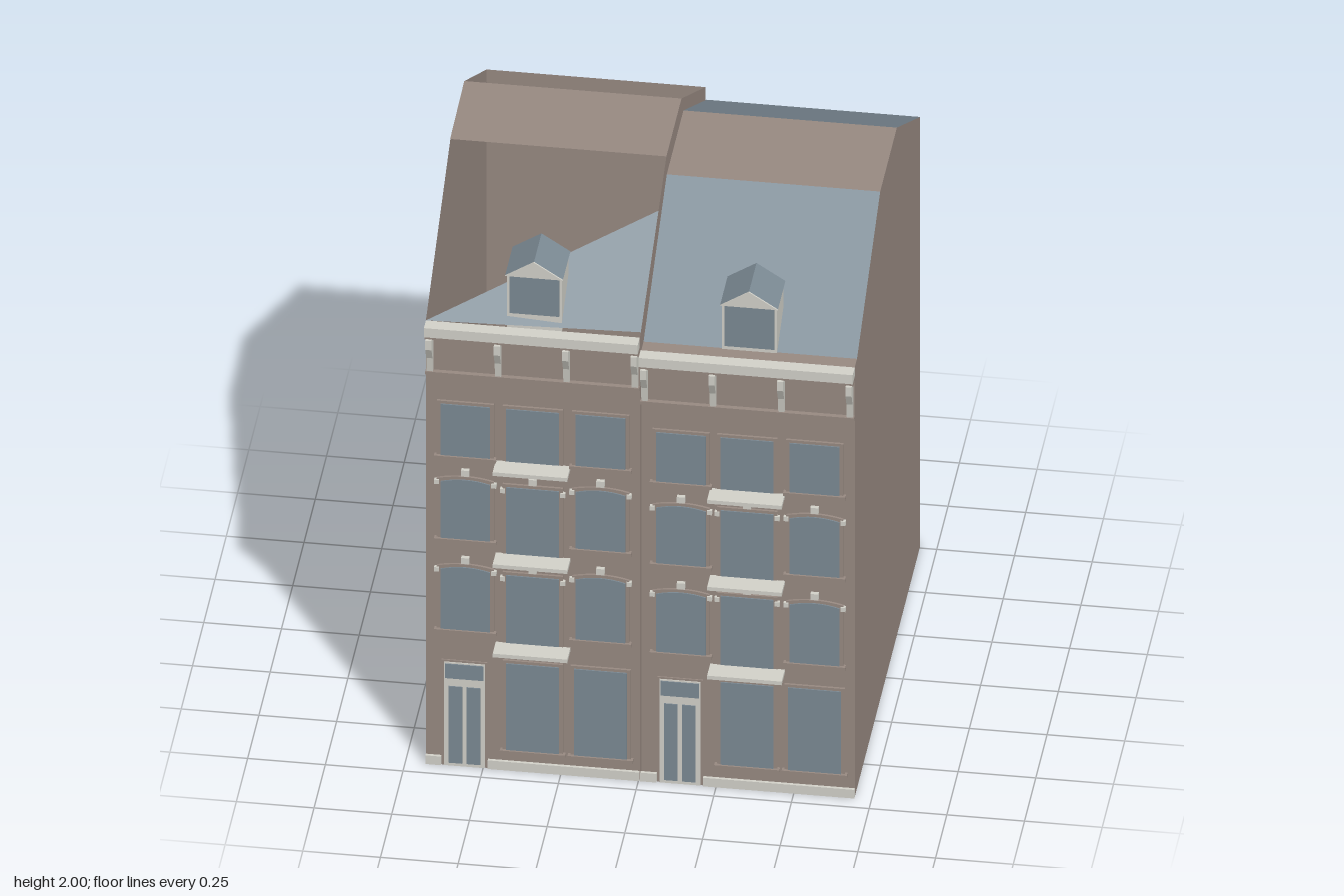
import * as THREE from 'three';

export function createModel() {
  const root = new THREE.Group();
  root.name = 'terracedHouses';
  const mat = (name, color, side = THREE.FrontSide) => {
    const m = new THREE.MeshStandardMaterial({ color, side });
    m.name = name;
    return m;
  };
  const brick = mat('brick', 0x988a82, THREE.DoubleSide);
  const slate = mat('slateAndGlass', 0x7c8a94, THREE.DoubleSide);
  const cream = mat('creamStone', 0xd3d2ca);

  const FRONT = 0.69, BACK = -0.76;
  const add = (parent, name, geo, m, x = 0, y = 0, z = 0) => {
    const mesh = new THREE.Mesh(geo, m);
    mesh.name = name;
    mesh.position.set(x, y, z);
    parent.add(mesh);
    return mesh;
  };
  // box given by its limits
  const box = (parent, name, m, x0, x1, y0, y1, z0, z1) =>
    add(parent, name, new THREE.BoxGeometry(x1 - x0, y1 - y0, z1 - z0), m,
      (x0 + x1) / 2, (y0 + y1) / 2, (z0 + z1) / 2);
  // flat convex panel from its corners
  const panel = (parent, name, m, pts) => {
    const g = new THREE.BufferGeometry();
    g.setAttribute('position', new THREE.Float32BufferAttribute(pts.flat(), 3));
    const idx = [];
    for (let i = 1; i < pts.length - 1; i++) idx.push(0, i, i + 1);
    g.setIndex(idx);
    g.computeVertexNormals();
    return add(parent, name, g, m);
  };
  const extrude = (pts, depth) => new THREE.ExtrudeGeometry(
    new THREE.Shape(pts.map(p => new THREE.Vector2(p[0], p[1]))), { depth, bevelEnabled: false });

  // rectangle with an optional shallow arched top
  const archPlate = (w, h, rise, depth) => {
    const s = new THREE.Shape();
    s.moveTo(-w / 2, 0);
    s.lineTo(w / 2, 0);
    s.lineTo(w / 2, h - rise);
    if (rise) s.quadraticCurveTo(0, h + rise, -w / 2, h - rise);
    else s.lineTo(-w / 2, h);
    return new THREE.ExtrudeGeometry(s, { depth, bevelEnabled: false, curveSegments: 8 });
  };

  function addWindow(parent, cx, w, y0, y1, { arch = false, balcony = false, stones = false }) {
    const g = new THREE.Group();
    g.name = 'window';
    parent.add(g);
    const h = y1 - y0, rise = arch ? 0.012 : 0;
    add(g, 'windowFrame', archPlate(w + 0.024, h + 0.012, rise, 0.008), brick, cx, y0 - 0.002, FRONT);
    add(g, 'windowGlass', archPlate(w, h, rise, 0.004), slate, cx, y0, FRONT + 0.008);
    if (balcony) box(g, 'balconySlab', cream, cx - 0.12, cx + 0.12, y0 - 0.02, y0 - 0.006, FRONT, 0.76);
    else box(g, 'windowSill', brick, cx - w / 2 - 0.02, cx + w / 2 + 0.02, y0 - 0.012, y0, FRONT, FRONT + 0.018);
    if (stones) {
      box(g, 'keystone', cream, cx - 0.013, cx + 0.013, y1 + 0.015, y1 + 0.038, FRONT, FRONT + 0.014);
      for (const s of [-1, 1]) {
        const x = cx + s * (w / 2 + 0.012);
        box(g, 'springStone', cream, x - 0.008, x + 0.008, y1 - 0.022, y1 - 0.006, FRONT, FRONT + 0.013);
      }
    }
  }

  function addDoor(parent, cx) {
    const g = new THREE.Group();
    g.name = 'frontDoor';
    parent.add(g);
    box(g, 'doorSurround', brick, cx - 0.074, cx + 0.074, 0, 0.402, FRONT, FRONT + 0.004);
    box(g, 'doorFrame', cream, cx - 0.066, cx + 0.066, 0, 0.395, FRONT, FRONT + 0.007);
    box(g, 'transomLight', slate, cx - 0.062, cx + 0.062, 0.335, 0.39, FRONT, FRONT + 0.01);
    for (const s of [-1, 1])
      box(g, 'doorLeaf', slate, cx + s * 0.029 - 0.022, cx + s * 0.029 + 0.022, 0.012, 0.305, FRONT, FRONT + 0.01);
  }

  function addCornice(parent, x0, x1, top) {
    const g = new THREE.Group();
    g.name = 'cornice';
    parent.add(g);
    box(g, 'corniceTop', cream, x0, x1, top - 0.035, top, FRONT, 0.735);
    box(g, 'corniceShadowBand', brick, x0, x1, top - 0.052, top - 0.035, FRONT, 0.722);
    box(g, 'friezeMoulding', brick, x0, x1, top - 0.197, top - 0.185, FRONT, 0.706);
    const profile = [[0, -0.185], [0.012, -0.185], [0.02, -0.13], [0.042, -0.085], [0.042, -0.05], [0, -0.05]];
    for (let i = 0; i < 4; i++) {
      const geo = extrude(profile, 0.02);
      geo.rotateY(-Math.PI / 2);
      const x = x0 + 0.014 + (x1 - x0 - 0.028) * i / 3;
      add(g, 'corniceBracket', geo, cream, x + 0.01, top, FRONT);
    }
  }

  function addDormer(parent, cx, base, eave) {
    const g = new THREE.Group();
    g.name = 'dormer';
    parent.add(g);
    box(g, 'dormerBody', cream, cx - 0.088, cx + 0.088, base, eave, 0.5, 0.645);
    box(g, 'dormerWindow', slate, cx - 0.08, cx + 0.08, base + 0.06, eave - 0.004, 0.645, 0.65);
    const tri = [[-0.093, 0], [0.093, 0], [0, 0.06]];
    add(g, 'dormerRoof', extrude(tri, 0.165), slate, cx, eave, 0.49);
    add(g, 'dormerPediment', extrude(tri, 0.005), cream, cx, eave, 0.655);
  }

  // rows: [side bottom, side top, middle bottom, middle top]
  function addFacade(parent, cols, rows, doorX, x0, x1, top) {
    rows.forEach((r, j) => cols.forEach((cx, i) => {
      const mid = i === 1, upper = j > 0 && j < 3;
      if (j === 0 && i === 0) return;
      addWindow(parent, cx, mid || j === 0 ? 0.17 : 0.16, mid ? r[2] : r[0], mid ? r[3] : r[1],
        { arch: upper && !mid, balcony: mid && j > 0, stones: upper });
    }));
    addDoor(parent, doorX);
    box(parent, 'plinth', cream, x0, doorX - 0.075, 0, 0.033, FRONT, FRONT + 0.01);
    box(parent, 'plinth', cream, doorX + 0.075, x1, 0, 0.033, FRONT, FRONT + 0.01);
    addCornice(parent, x0, x1, top);
  }

  // gable wall: eave height, ridge height, front and rear ends of the flat top
  const gable = (parent, name, xf, xb, eave, ridge, zf, zr, frontEave) => {
    const x = z => xb + (xf - xb) * (z - BACK) / (FRONT - BACK);
    const pts = [[FRONT, 0], [FRONT, eave], [frontEave, eave], [zf, ridge], [zr, ridge], [BACK, eave], [BACK, 0]];
    panel(parent, name, brick, pts.map(([z, y]) => [x(z), y, z]));
  };
  const shell = (parent, f0, b0, x1, eave) => {
    panel(parent, 'frontWall', brick, [[f0, 0, FRONT], [x1, 0, FRONT], [x1, eave, FRONT], [f0, eave, FRONT]]);
    panel(parent, 'backWall', brick, [[x1, 0, BACK], [b0, 0, BACK], [b0, eave, BACK], [x1, eave, BACK]]);
    panel(parent, 'floor', brick, [[b0, 0, BACK], [x1, 0, BACK], [x1, 0, FRONT], [f0, 0, FRONT]]);
  };

  // taller house, with a partly open roof
  const tall = new THREE.Group();
  tall.name = 'tallerHouse';
  root.add(tall);
  shell(tall, -0.685, -0.7, 0.004, 1.693);
  gable(tall, 'outerGable', -0.685, -0.7, 1.693, 2, 0.105, -0.23, FRONT);
  gable(tall, 'partyWall', 0.004, 0.004, 1.693, 2, 0.105, -0.23, FRONT);
  panel(tall, 'flatRoof', brick, [[-0.692, 2, 0.105], [0.004, 2, 0.105], [0.004, 2, -0.23], [-0.695, 2, -0.23]]);
  panel(tall, 'frontRoofSlope', slate, [[-0.685, 1.693, FRONT], [0.004, 1.68, 0.64], [0.004, 1.908, 0.28]]);
  addFacade(tall, [-0.557, -0.34, -0.122],
    [[0.08, 0.41, 0.08, 0.41], [0.525, 0.765, 0.49, 0.748], [0.873, 1.1, 0.832, 1.085], [1.19, 1.385, 1.185, 1.385]],
    -0.56, -0.685, 0.003, 1.693);
  addDormer(tall, -0.342, 1.66, 1.867);

  // lower house, with a full mansard roof
  const low = new THREE.Group();
  low.name = 'lowerHouse';
  root.add(low);
  const L = 0.008, R = 0.695, E = 1.645, T = 1.945;
  shell(low, L, L, R, E);
  gable(low, 'outerGable', R, R, E, T, 0.125, -0.245, 0.64);
  panel(low, 'gutter', brick, [[L, E, FRONT], [R, E, FRONT], [R, E, 0.64], [L, E, 0.64]]);
  panel(low, 'frontRoofSlope', slate, [[L, E, 0.64], [R, E, 0.64], [R, T, 0.125], [L, T, 0.125]]);
  panel(low, 'flatRoof', brick, [[L, T, 0.125], [R, T, 0.125], [R, T, -0.245], [L, T, -0.245]]);
  panel(low, 'rearRoofSlope', slate, [[L, T, -0.245], [R, T, -0.245], [R, E, BACK], [L, E, BACK]]);
  addFacade(low, [0.137, 0.35, 0.567],
    [[0.09, 0.405, 0.09, 0.405], [0.503, 0.735, 0.472, 0.735], [0.842, 1.065, 0.812, 1.063], [1.155, 1.342, 1.145, 1.342]],
    0.133, 0.006, R, E);
  addDormer(low, 0.35, 1.6, 1.82);

  return root;
}
